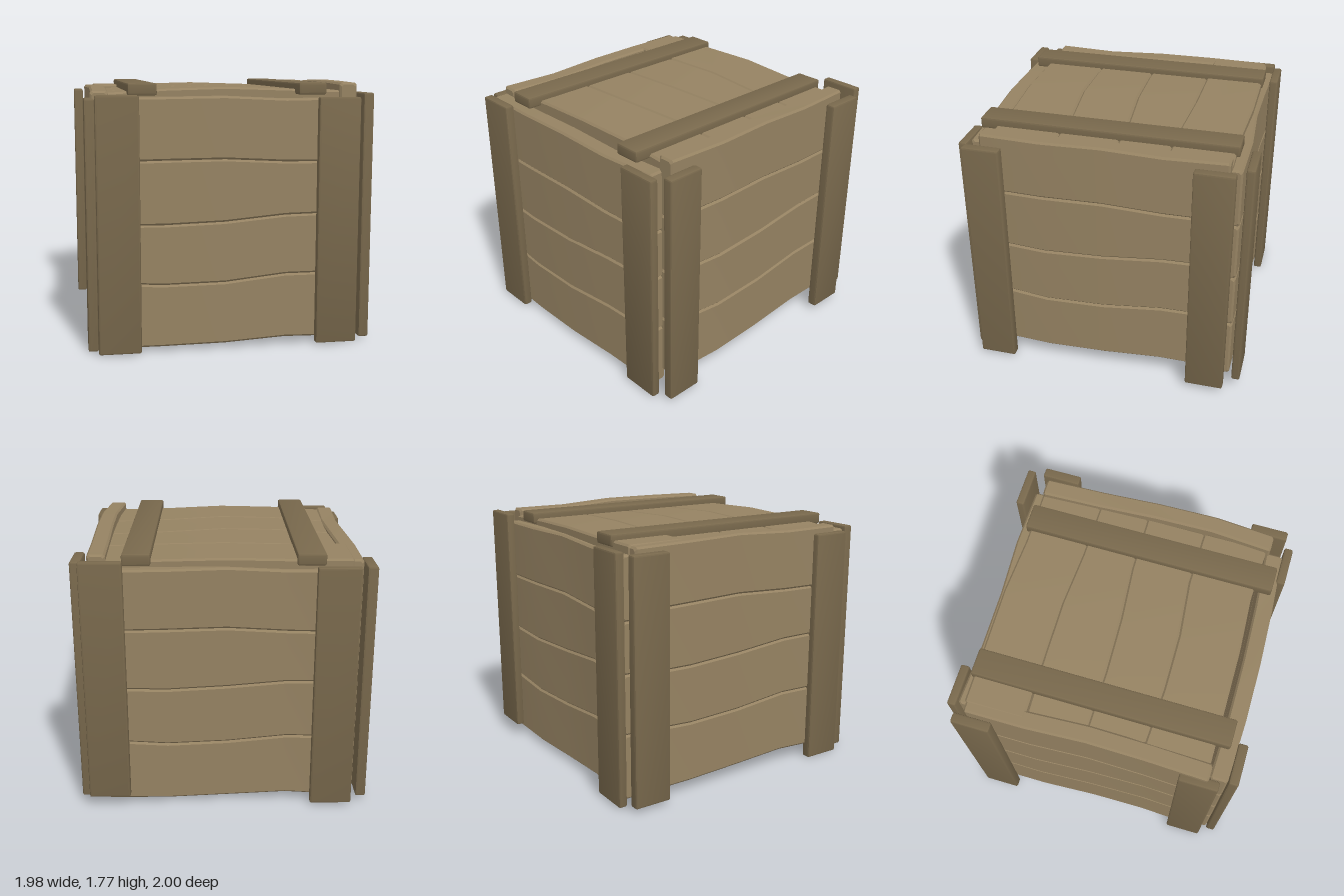
import * as THREE from 'three';
import { toCreasedNormals } from 'three/addons/utils/BufferGeometryUtils.js';
import { RoundedBoxGeometry } from 'three/addons/geometries/RoundedBoxGeometry.js';

const plankMaterial = new THREE.MeshStandardMaterial({ color: 0x958262 });
const battenMaterial = new THREE.MeshStandardMaterial({ color: 0x78684c });

const THICK = 0.12, BEVEL = 0.013;

// Wavy plank edges of one panel, sampled at five stations along its length
const EDGES = [
  [-0.835, -0.832, -0.828, -0.808, -0.825],
  [-0.393, -0.415, -0.41, -0.37, -0.375],
  [-0.008, -0.015, -0.003, 0.032, 0.035],
  [0.4, 0.408, 0.411, 0.388, 0.383],
  [0.81, 0.815, 0.82, 0.8, 0.805],
];

// Warped plank: chamfered cross-sections lofted along x; low/high are its edges, face its outer surface
function plankGeometry(start, end, low, high, face) {
  const position = [], index = [];
  const ring = (x, lo, hi, out, inset) => {
    const b = BEVEL, y0 = lo + inset, y1 = hi - inset, z1 = out - inset, z0 = out - THICK + inset;
    [[y1, z0 + b], [y1, z1 - b], [y1 - b, z1], [y0 + b, z1],
      [y0, z1 - b], [y0, z0 + b], [y0 + b, z0], [y1 - b, z0]].forEach(([y, z]) => position.push(x, y, z));
  };
  const last = low.length - 1;
  ring(start, low[0], high[0], face[0], BEVEL);
  for (let i = 0; i <= last; i++) {
    const x = THREE.MathUtils.lerp(start + BEVEL, end - BEVEL, i / last);
    ring(x, low[i], high[i], face[i], 0);
  }
  ring(end, low[last], high[last], face[last], BEVEL);
  const rings = position.length / 24;
  for (let i = 0; i < rings - 1; i++) {
    for (let j = 0; j < 8; j++) {
      const a = i * 8 + j, b = i * 8 + (j + 1) % 8;
      index.push(a, b, b + 8, a, b + 8, a + 8);
    }
  }
  const e = (rings - 1) * 8;
  for (let j = 1; j < 7; j++) index.push(0, j + 1, j, e, e + j, e + j + 1);
  const geometry = new THREE.BufferGeometry();
  geometry.setAttribute('position', new THREE.Float32BufferAttribute(position, 3));
  geometry.setIndex(index);
  return toCreasedNormals(geometry, 0.4);
}

// Four planks side by side; face is the distance of the outer surface from the panel origin.
// The last plank can start earlier and sit higher than the others.
function panel(name, start, end, face, extraLength = 0, extraHeight = 0) {
  const group = new THREE.Group();
  group.name = name;
  for (let k = 0; k < 4; k++) {
    const isLast = k === 3;
    const surface = isLast ? [face[0] + extraHeight, ...face.slice(1)] : face;
    const geometry = plankGeometry(start - (isLast ? extraLength : 0), end, EDGES[k], EDGES[k + 1], surface);
    const mesh = new THREE.Mesh(geometry, plankMaterial);
    mesh.name = name + 'Plank';
    group.add(mesh);
  }
  return group;
}

// Straight batten given by its minimum and maximum on each axis
function batten(name, [x0, x1], [y0, y1], [z0, z1]) {
  const geometry = new RoundedBoxGeometry(x1 - x0, y1 - y0, z1 - z0, 1, 0.012);
  const mesh = new THREE.Mesh(toCreasedNormals(geometry, 0.4), battenMaterial);
  mesh.position.set((x0 + x1) / 2, (y0 + y1) / 2, (z0 + z1) / 2);
  mesh.name = name;
  return mesh;
}

export function createModel() {
  const crate = new THREE.Group();
  crate.name = 'crate';

  // Walls
  const front = panel('frontWall', -0.865, 0.8, [0.93, 0.945, 0.943, 0.93, 0.905]);
  front.position.y = 0.865;
  const back = panel('backWall', -0.8, 0.845, [0.91, 0.915, 0.89, 0.89, 0.905]);
  back.position.y = 0.865;
  back.rotation.y = Math.PI;
  const left = panel('leftWall', -0.81, 0.84, [0.89, 0.918, 0.907, 0.895, 0.88]);
  left.position.y = 0.955;
  left.rotation.y = Math.PI / 2;
  const right = panel('rightWall', -0.84, 0.81, [0.905, 0.905, 0.885, 0.885, 0.9]);
  right.position.y = 0.912;
  right.rotation.y = -Math.PI / 2;

  // Lid and recessed floor
  const lid = panel('lid', -0.8, 0.8, [1.705, 1.73, 1.74, 1.727, 1.714], 0.045, 0.025);
  lid.position.z = -0.04;
  lid.rotation.x = -Math.PI / 2;
  const floor = panel('floor', -0.8, 0.8, [-0.21, -0.2, -0.195, -0.2, -0.21]);
  floor.position.z = 0.03;
  floor.rotation.x = Math.PI / 2;
  crate.add(front, back, left, right, lid, floor);

  // Corner battens, two on each wall, and two across the lid
  const battens = [
    ['frontRightBatten', [-0.875, -0.595], [0.01, 1.695], [0.935, 1]],
    ['frontLeftBatten', [0.59, 0.872], [0.01, 1.675], [0.905, 0.965]],
    ['backRightBatten', [-0.88, -0.595], [0.01, 1.7], [-0.965, -0.905]],
    ['backLeftBatten', [0.64, 0.92], [0.09, 1.75], [-1, -0.942]],
    ['leftFrontBatten', [0.912, 0.982], [0.02, 1.7], [0.642, 0.9]],
    ['leftBackBatten', [0.915, 0.985], [0.04, 1.725], [-0.89, -0.625]],
    ['rightFrontBatten', [-0.94, -0.872], [0, 1.67], [0.62, 0.885]],
    ['rightBackBatten', [-0.99, -0.92], [0.03, 1.69], [-0.905, -0.64]],
    ['lidRightBatten', [-0.66, -0.472], [1.69, 1.768], [-0.868, 0.888]],
    ['lidLeftBatten', [0.47, 0.656], [1.69, 1.768], [-0.868, 0.888]],
  ];
  for (const spec of battens) crate.add(batten(...spec));
  return crate;
}
